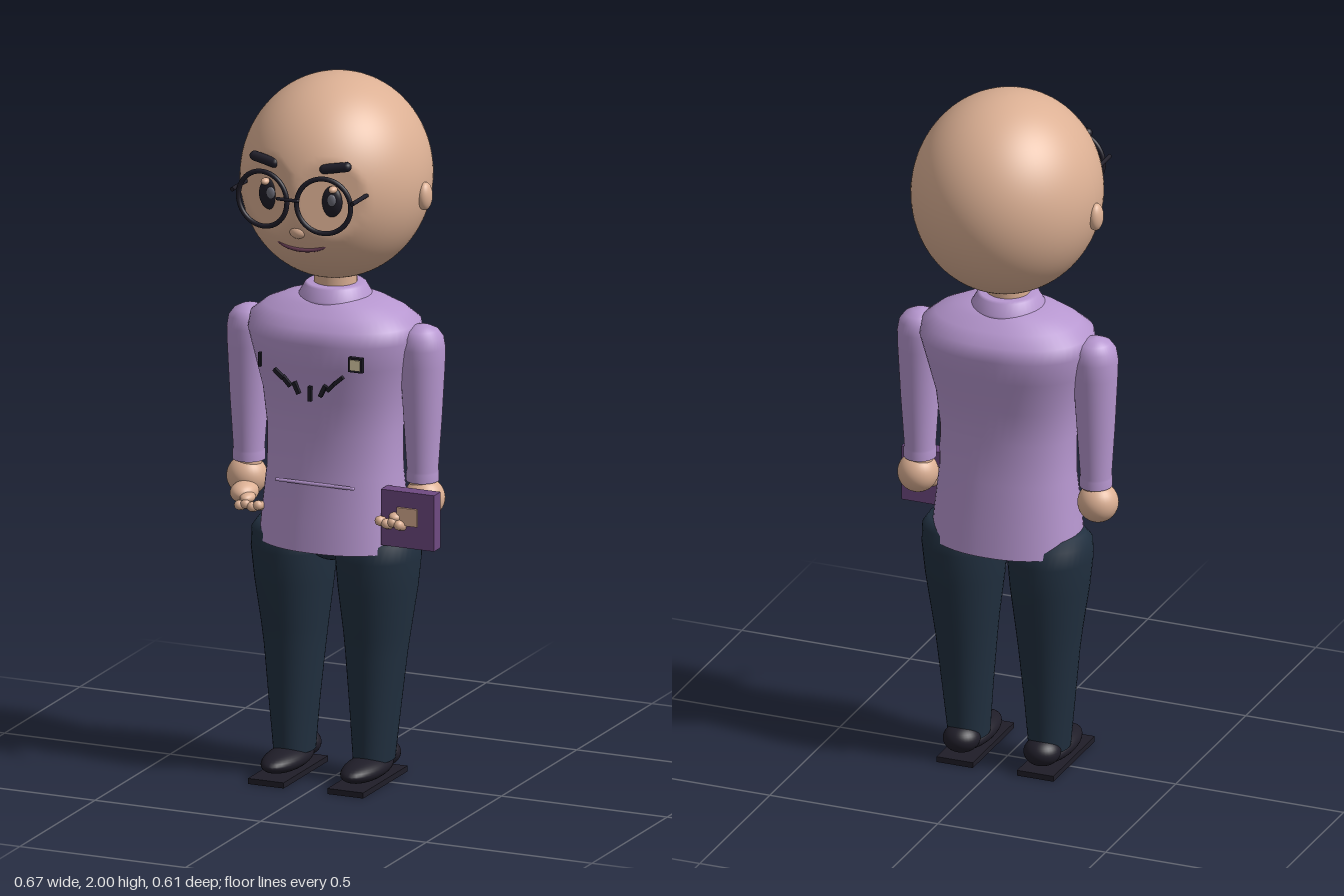
import * as THREE from 'three';

const mat = (name, color, side = THREE.FrontSide) => {
  const m = new THREE.MeshStandardMaterial({ color, side });
  m.name = name;
  return m;
};

// Closed tube of elliptical rings [y, cx, cz, halfX, halfZ], listed from the bottom up
function loft(rings, power = 1, n = 40) {
  const pos = [], index = [];
  const bend = (v) => Math.sign(v) * Math.abs(v) ** power;
  rings.forEach(([y, cx, cz, hx, hz]) => {
    for (let j = 0; j < n; j++) {
      const a = (j / n) * Math.PI * 2;
      pos.push(cx + hx * bend(Math.cos(a)), y, cz + hz * bend(Math.sin(a)));
    }
  });
  for (let i = 0; i < rings.length - 1; i++) {
    for (let j = 0; j < n; j++) {
      const k = (j + 1) % n, a = i * n + j, b = a + n, c = i * n + k, d = c + n;
      index.push(a, b, c, b, d, c);
    }
  }
  const g = new THREE.BufferGeometry();
  g.setAttribute('position', new THREE.Float32BufferAttribute(pos, 3));
  g.setIndex(index);
  g.computeVertexNormals();
  return g;
}

export function createModel() {
  const skin = mat('skin', 0xdcb094), shirt = mat('lavender shirt', 0xb797d0);
  const pants = mat('navy trousers', 0x213040), dark = mat('near black', 0x1f1d28);
  const purple = mat('purple cover', 0x6f4a82), cream = mat('cream', 0xe8d8b0);
  const shine = mat('eye shine', 0x6c6c78), lip = mat('lip', 0x6e4058);

  const model = new THREE.Group();
  model.name = 'figure';
  const body = new THREE.Group();
  body.name = 'body';
  body.position.x = -0.01;
  model.add(body);

  const add = (name, geo, material, x = 0, y = 0, z = 0) => {
    const m = new THREE.Mesh(geo, material);
    m.name = name;
    m.position.set(x, y, z);
    body.add(m);
    return m;
  };
  const ball = (name, material, x, y, z, rx, ry = rx, rz = rx) => {
    const m = add(name, new THREE.SphereGeometry(1, 32, 20), material, x, y, z);
    m.scale.set(rx, ry, rz);
    return m;
  };
  const box = (name, material, x, y, z, w, h, d) => add(name, new THREE.BoxGeometry(w, h, d), material, x, y, z);

  // Head: a sphere whose face planes meet in a soft central ridge
  const head = new THREE.SphereGeometry(1, 96, 64);
  const p = head.attributes.position;
  for (let i = 0; i < p.count; i++) {
    const x = p.getX(i) * 0.263;
    const z = Math.min(p.getZ(i) * 0.283 - 0.027, 0.255 - 0.43 * Math.abs(x));
    p.setXYZ(i, x, p.getY(i) * 0.287, z);
  }
  head.computeVertexNormals();
  add('head', head, skin, 0, 1.713, 0);
  add('neck', new THREE.CylinderGeometry(0.06, 0.06, 0.12, 32), skin, 0, 1.41, -0.02);

  // Shirt
  add('shirt', loft([
    [0.67, 0, -0.02, 0, 0], [0.67, 0, -0.02, 0.215, 0.16], [0.67, 0, -0.02, 0.215, 0.16],
    [0.75, 0, -0.02, 0.208, 0.152], [0.88, 0, -0.02, 0.194, 0.137], [1.0, 0, -0.018, 0.194, 0.13],
    [1.1, 0, -0.018, 0.205, 0.142], [1.2, 0, -0.02, 0.23, 0.167], [1.27, 0, -0.022, 0.248, 0.183],
    [1.31, 0, -0.022, 0.242, 0.172], [1.34, 0, -0.022, 0.205, 0.14], [1.365, 0, -0.02, 0.15, 0.11],
    [1.38, 0, -0.02, 0.09, 0.085], [1.385, 0, -0.02, 0, 0],
  ], 0.9, 56), shirt);
  add('collar', loft([
    [1.365, 0, -0.02, 0.102, 0.105], [1.375, 0, -0.02, 0.102, 0.105], [1.405, 0, -0.02, 0.085, 0.088],
    [1.41, 0, -0.02, 0.078, 0.08], [1.41, 0, -0.02, 0.05, 0.05],
  ]), shirt);
  const seam = add('waistSeam', new THREE.CapsuleGeometry(0.005, 0.23, 4, 10), shirt, 0, 0.863, 0.118);
  seam.rotation.z = Math.PI / 2;

  // Chest details: pen, badge and a V of small dashes
  box('pen', dark, -0.135, 1.222, 0.185, 0.008, 0.04, 0.012);
  box('badge', dark, 0.155, 1.24, 0.184, 0.042, 0.042, 0.014);
  box('badgeFace', cream, 0.155, 1.24, 0.192, 0.03, 0.03, 0.006);
  for (const [x, y, tilt] of [[0, 1.13, 0], [0.04, 1.143, 0.45], [0.068, 1.16, 0.75], [0.09, 1.18, 0.85]]) {
    for (const s of x ? [-1, 1] : [1]) {
      const dash = box('neckDash', dark, s * x, y, 0.15 + (y - 1.13) * 0.2, 0.011, x ? 0.036 : 0.042, 0.012);
      dash.rotation.z = -s * tilt;
    }
  }

  ball('crotch', pants, 0, 0.68, -0.02, 0.07, 0.065, 0.1);

  for (const s of [-1, 1]) {
    // Trouser leg
    add('trouserLeg', loft([
      [0.06, s * 0.12, -0.012, 0, 0], [0.06, s * 0.12, -0.012, 0.056, 0.072],
      [0.06, s * 0.12, -0.012, 0.056, 0.072], [0.2, s * 0.122, -0.016, 0.069, 0.08],
      [0.36, s * 0.123, -0.022, 0.085, 0.092], [0.42, s * 0.124, -0.024, 0.092, 0.1],
      [0.55, s * 0.126, -0.025, 0.11, 0.117], [0.64, s * 0.127, -0.025, 0.119, 0.123],
      [0.69, s * 0.128, -0.025, 0.117, 0.115], [0.715, s * 0.128, -0.025, 0.1, 0.09],
      [0.725, s * 0.128, -0.025, 0, 0],
    ]), pants);

    // Shoe
    ball('shoe', dark, s * 0.12, 0.045, 0.035, 0.056, 0.032, 0.13);
    ball('shoeHeel', dark, s * 0.12, 0.063, -0.065, 0.052, 0.04, 0.053);
    box('sole', dark, s * 0.12, 0.008, 0.032, 0.108, 0.016, 0.295);

    // Sleeve, cuff and hand
    add('sleeve', loft([
      [0.87, s * 0.262, -0.022, 0, 0], [0.87, s * 0.262, -0.022, 0.045, 0.047],
      [0.87, s * 0.262, -0.022, 0.045, 0.047], [0.895, s * 0.262, -0.022, 0.045, 0.047],
      [0.9, s * 0.262, -0.022, 0.043, 0.045], [1.05, s * 0.262, -0.023, 0.053, 0.055],
      [1.2, s * 0.261, -0.024, 0.062, 0.063], [1.25, s * 0.26, -0.024, 0.064, 0.065],
      [1.28, s * 0.26, -0.024, 0.059, 0.06], [1.3, s * 0.26, -0.024, 0.044, 0.046],
      [1.311, s * 0.26, -0.024, 0.022, 0.022], [1.314, s * 0.26, -0.024, 0, 0],
    ]), shirt);
    add('wrist', new THREE.CylinderGeometry(0.036, 0.036, 0.07, 24), skin, s * 0.262, 0.85, -0.022);
    ball('hand', skin, s * 0.268, 0.82, -0.022, 0.057);
    ball('palm', skin, s * 0.25, 0.79, 0.035, 0.038, 0.03, 0.05);
    for (let i = 0; i < 4; i++) {
      const f = add('finger', new THREE.CapsuleGeometry(0.014, 0.035, 6, 12), skin,
        s * (0.245 - i * 0.019), 0.762 + (i % 2) * 0.006, 0.075);
      f.rotation.set(Math.PI / 2 - 0.3, 0, s * 0.25);
    }
    ball('thumb', skin, s * 0.225, 0.785, 0.068, 0.02, 0.015, 0.03);

    // Ear, eye and brow
    ball('ear', skin, s * 0.265, 1.68, -0.03, 0.02, 0.04, 0.028);
    ball('eye', dark, s * 0.092, 1.708, 0.212, 0.033, 0.045, 0.017);
    ball('eyeShine', shine, s * 0.092 + 0.008, 1.715, 0.226, 0.013, 0.017, 0.006);
    ball('eyelidDot', skin, s * 0.102, 1.745, 0.222, 0.012, 0.01, 0.016);
    const brow = add('eyebrow', new THREE.CapsuleGeometry(0.014, 0.065, 6, 14), dark, s * 0.107, 1.806, 0.216);
    brow.rotation.set(0, s * 0.12, Math.PI / 2 + s * 0.17);

    // Spectacle rim and temple
    const rim = add('spectacleRim', new THREE.TorusGeometry(0.078, 0.007, 12, 48), dark, s * 0.092, 1.707, 0.262);
    rim.rotation.y = s * 0.125;
    const temple = add('spectacleTemple', new THREE.CylinderGeometry(0.006, 0.006, 0.1, 12), dark, s * 0.181, 1.725, 0.22);
    temple.rotation.x = Math.PI / 2;
  }

  const bridge = add('spectacleBridge', new THREE.CapsuleGeometry(0.005, 0.06, 4, 10), dark, 0, 1.724, 0.299);
  bridge.rotation.z = Math.PI / 2;

  // Nose and mouth
  ball('nose', skin, 0, 1.615, 0.228, 0.025, 0.02, 0.02);
  const smile = new THREE.CatmullRomCurve3([[-0.078, 1.578, 0.2], [-0.045, 1.564, 0.209], [0, 1.559, 0.214],
    [0.045, 1.564, 0.209], [0.078, 1.578, 0.2]].map((v) => new THREE.Vector3(...v)));
  add('mouth', new THREE.TubeGeometry(smile, 30, 0.006, 8), lip);

  // Book held in the left hand
  box('book', purple, 0.262, 0.78, 0.057, 0.16, 0.16, 0.043);
  box('bookLabel', skin, 0.262, 0.79, 0.081, 0.06, 0.05, 0.008);

  return model;
}
